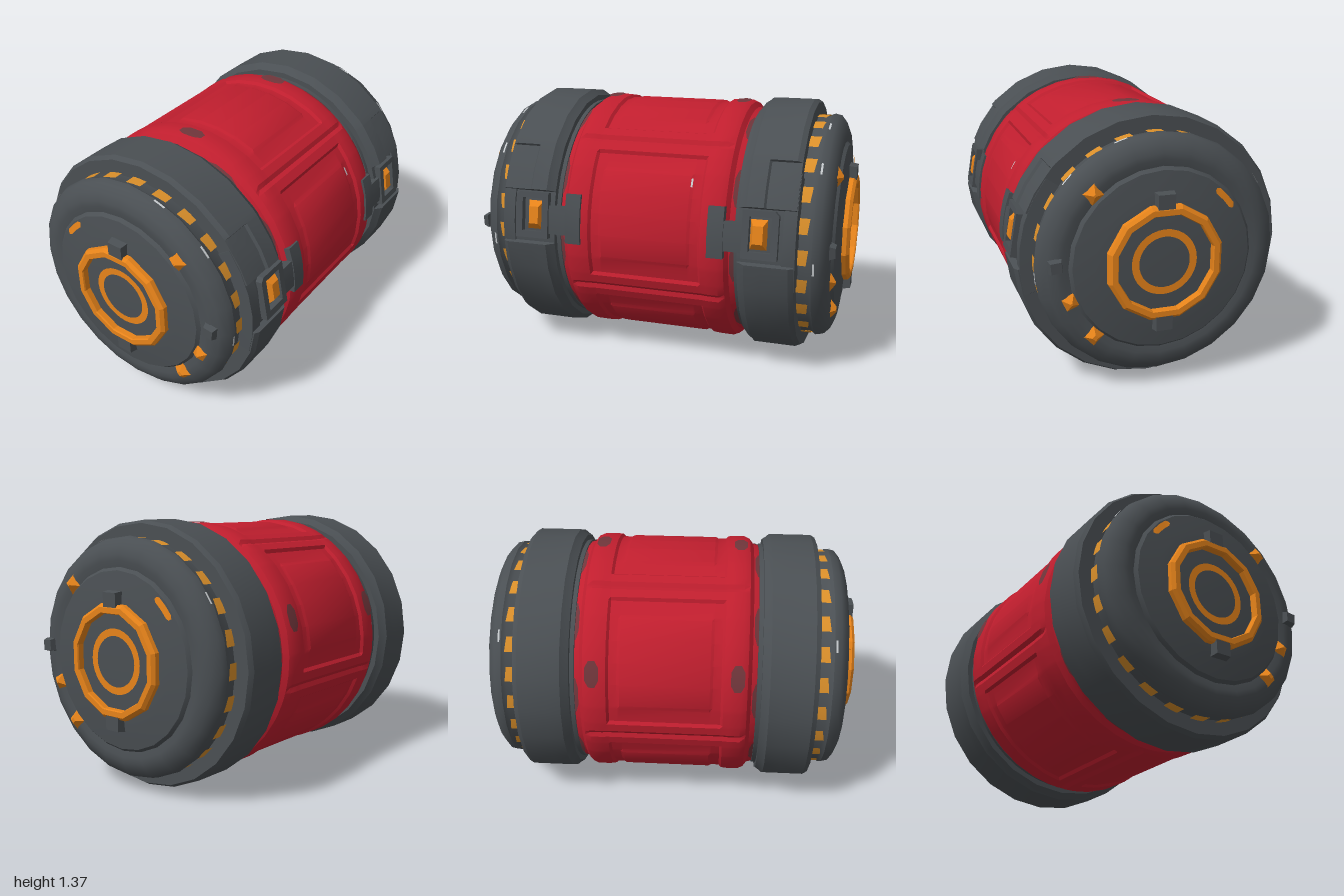
import * as THREE from 'three';
import { toCreasedNormals } from 'three/addons/utils/BufferGeometryUtils.js';

const CY = 0.685; // height of the barrel axis
const RAD = Math.PI / 180;

const mat = (name, color) => {
  const m = new THREE.MeshStandardMaterial({ color, side: THREE.DoubleSide });
  m.name = name;
  return m;
};

// Evenly spaced angles in degrees
const spread = (a, b, n) => Array.from({ length: n + 1 }, (_, i) => a + (b - a) * i / n);

// Sweeps an [x, radius] profile about the x axis; 0 degrees faces +z, 90 faces up
function revolve(profile, angles, mod = (x, r) => [x, r]) {
  const pos = [];
  const at = (i, j) => {
    const [x, r] = mod(profile[i][0], profile[i][1], angles[j], j);
    return [x, r * Math.sin(angles[j] * RAD), r * Math.cos(angles[j] * RAD)];
  };
  for (let i = 0; i < profile.length - 1; i++) {
    for (let j = 0; j < angles.length - 1; j++) {
      const a = at(i, j), b = at(i + 1, j), c = at(i + 1, j + 1), d = at(i, j + 1);
      pos.push(...a, ...c, ...d);
      if (profile[i + 1][1] > 0) pos.push(...a, ...b, ...c);
    }
  }
  const g = new THREE.BufferGeometry();
  g.setAttribute('position', new THREE.Float32BufferAttribute(pos, 3));
  return g;
}

// Curved plate from x0 to x1 and angle a to b, with sides dropping to the base radius
function plate(x0, x1, a, b, base, top, n = 4) {
  const angles = [a, ...spread(a + 0.3, b - 0.3, n), b];
  const profile = [[x0, base], [x0 + 0.004, top], [x1 - 0.004, top], [x1, base]];
  return revolve(profile, angles, (x, r, t, j) => [x, j === 0 || j === angles.length - 1 ? base : r]);
}

// Box whose +z face is shrunk by a taper
function block(w, h, d, taper) {
  const g = new THREE.BoxGeometry(w, h, d);
  const p = g.attributes.position;
  for (let i = 0; i < p.count; i++) {
    if (p.getZ(i) > 0) p.setXY(i, p.getX(i) * taper, p.getY(i) * taper);
  }
  return g;
}

// Mirrors a triangle list across x and turns its faces back outward
function mirrorX(g) {
  const p = g.attributes.position;
  const a = new THREE.Vector3(), b = new THREE.Vector3();
  for (let i = 0; i < p.count; i += 3) {
    a.fromBufferAttribute(p, i + 1);
    b.fromBufferAttribute(p, i + 2);
    p.setXYZ(i, -p.getX(i), p.getY(i), p.getZ(i));
    p.setXYZ(i + 1, -b.x, b.y, b.z);
    p.setXYZ(i + 2, -a.x, a.y, a.z);
  }
}

export function createModel() {
  const model = new THREE.Group();
  model.name = 'barrel';
  const barrel = new THREE.Group();
  barrel.name = 'barrelBody';
  barrel.position.y = CY;
  model.add(barrel);

  const red = mat('red paint', 0xc01e2e);
  const grey = mat('dark grey metal', 0x4a4f53);
  const orange = mat('orange paint', 0xe6831a);
  const amber = mat('amber paint', 0xda8f2a);
  const worn = mat('worn brown paint', 0x70363b);
  const bare = mat('bare metal', 0xc4c8cb);

  const add = (name, geo, material, side = 1, crease = 0.5) => {
    let g = geo.index ? geo.toNonIndexed() : geo;
    g.deleteAttribute('uv');
    if (side < 0) mirrorX(g);
    g.computeVertexNormals();
    g = toCreasedNormals(g, crease);
    const mesh = new THREE.Mesh(g, material);
    mesh.name = name;
    barrel.add(mesh);
  };

  // Red drum: five recessed panels with raised centres and grooves between them
  const half = [[0.5, 0.6], [0.47, 0.615], [0.44, 0.625], [0.42, 0.652], [0.39, 0.665], [0.33, 0.665],
    [0.3, 0.662], [0.287, 0.662], [0.245, 0.662], [0.23, 0.662]];
  const drum = [...half.map(([x, r]) => [-x, r]), ...half.slice().reverse()];
  const steps = [-36, -34, -30, -28.7, -22, -20, -10, 0, 10, 20, 22, 28.7, 30, 34];
  const drumAngles = [];
  for (let k = 0; k < 5; k++) steps.forEach(s => drumAngles.push(13 + 72 * k + s));
  drumAngles.push(13 - 36 + 360);
  add('drum', revolve(drum, drumAngles, (x, r, t) => {
    const d = Math.abs(((t - 13 + 36 + 360) % 72) - 36), ax = Math.abs(x);
    if (d > 35 && ax < 0.4) return [x, r - 0.012];
    if (d <= 20.1 && ax <= 0.231) return [x, r - 0.006];
    if (d <= 28.8 && ax <= 0.288) return [x, r - 0.014];
    return [x, r];
  }), red);
  add('drumChip', revolve([[0.233, 0.661], [0.243, 0.661]], spread(28, 32, 2)), bare);

  const ring24 = spread(0, 360, 24);

  for (const s of [1, -1]) {
    // Grey collar between drum and band
    add('collar', revolve([[0.466, 0.61], [0.468, 0.624], [0.5, 0.624]], spread(0, 360, 48)), grey, s);

    // Heavy band, stepped down at the front into a bay for the latch
    const bandAngles = [...ring24, 357, 357.3, 21, 21.3, 42, 42.3].sort((a, b) => a - b);
    add('band', revolve(
      [[0.49, 0.58], [0.49, 0.655], [0.515, 0.672], [0.53, 0.685], [0.615, 0.685], [0.625, 0.685],
        [0.75, 0.685], [0.775, 0.67], [0.775, 0.57]], bandAngles,
      (x, r, t) => {
        if (t < 21.2 || t > 357.2) return [x, Math.min(r, 0.652)];
        return [x, t < 42.1 && x > 0.62 ? Math.min(r, 0.672) : r];
      }), grey, s);
    add('bandFlap', plate(0.71, 0.782, -15, 38, 0.585, 0.662, 5), grey, s);

    // Domed end cap with a dished ring around the face
    add('endCap', revolve(
      [[0.74, 0.592], [0.83, 0.594], [0.85, 0.61], [0.885, 0.602], [0.915, 0.565], [0.932, 0.525], [0.932, 0.495],
        [0.926, 0.462], [0.943, 0.447], [0.958, 0.34], [0.963, 0.28], [0.963, 0]], ring24), grey, s, 0.7);

    // Painted dashes around the rim
    for (let k = 0; k < 24; k++) {
      const a = k * 15;
      add('rimDash', revolve([[0.772, 0.601], [0.828, 0.601]], spread(a - 3.8, a + 3.8, 2),
        (x, r, t) => [x + (t - a) * 0.0012, r]), amber, s);
    }

    // Small bare chips on the cap shoulder
    for (const a of [-5, 43, 72, 146]) {
      add('capChip', revolve([[0.856, 0.6115], [0.866, 0.61]], spread(a - 3, a + 3, 2)), bare, s);
    }

    // Twelve-sided hub ring and the painted circle inside it
    add('hubRing', revolve([[0.95, 0.296], [0.985, 0.294], [1, 0.278], [1, 0.25], [0.993, 0.246], [0.96, 0.246]],
      spread(15, 375, 12)), orange, s, 0.3);
    add('hubCircle', revolve([[0.968, 0.165], [0.968, 0.128]], spread(0, 360, 32)), orange, s);
    for (const v of [1, -1]) {
      const clip = block(0.1, 0.09, 0.05, 0.84);
      clip.rotateY(Math.PI / 2).translate(0.973, 0.305 * v, 0.005);
      add('hubClip', clip, grey, s);
    }

    // Studs on the cap shoulder
    for (const [y, z, spin, size, m, taper] of [
      [0.355, 0.34, 40, 0.074, orange, 0.15], [-0.165, 0.455, 25, 0.072, orange, 0.15],
      [-0.355, 0.34, 45, 0.074, orange, 0.3], [0.025, 0.525, 5, 0.07, grey, 0.75]]) {
      const stud = block(size, size, 0.03, taper);
      stud.rotateZ(spin * RAD).rotateY(Math.PI / 2).translate(0.944, y, z);
      add('capStud', stud, m, s, 0.2);
    }
    // Painted dash on the cap face, with tapered ends
    add('capDash', revolve([[0.949, 0.438], [0.955, 0.406]], [128, 130, 137, 144, 146],
      (x, r, t) => [x, Math.abs(t - 137) > 8 ? 0.422 + (r - 0.422) * 0.4 : r]), orange, s);

    // Front latch: framed bay, orange catch and the tee reaching onto the drum
    const frame = new THREE.Shape();
    frame.moveTo(-0.09, -0.12).lineTo(0.09, -0.12).lineTo(0.09, 0.1).lineTo(0.07, 0.12).lineTo(-0.09, 0.12);
    const hole = new THREE.Path();
    hole.moveTo(-0.055, -0.085).lineTo(-0.055, 0.09).lineTo(0.055, 0.09).lineTo(0.055, -0.085);
    frame.holes.push(hole);
    const place = g => g.rotateX(-10 * RAD).translate(0.605, 0.112, 0.635);
    add('latchFrame', place(new THREE.ExtrudeGeometry(frame, { depth: 0.035, bevelEnabled: false })), grey, s);
    const catchGeo = block(0.085, 0.15, 0.035, 0.6);
    catchGeo.translate(-0.01, 0, 0.02);
    add('latchCatch', place(catchGeo), orange, s, 0.2);
    add('latchArm', plate(0.41, 0.53, 1.5, 15, 0.61, 0.67), grey, s);
    add('latchPlate', plate(0.335, 0.425, -2, 21, 0.64, 0.675), grey, s);

    // Worn spots on the top and back of the drum
    for (const a of [90, 162]) {
      add('drumWear', revolve([[0.335, 0.668], [0.37, 0.669], [0.405, 0.668]], [a - 6, a - 3, a + 3, a + 6],
        (x, r, t) => [0.37 + (x - 0.37) * (Math.abs(t - a) > 4 ? 0.45 : 1), r]), worn, s);
    }

    // Worn paint where the drum meets the collar
    for (let a = 30; a < 390; a += 36) {
      add('rimWear', revolve([[0.446, 0.626], [0.467, 0.619]], spread(a - 9, a + 9, 4),
        (x, r, t) => (Math.abs(t - a) > 8 && x < 0.46 ? [0.46, 0.622] : [x, r])), worn, s);
    }
  }
  return model;
}
